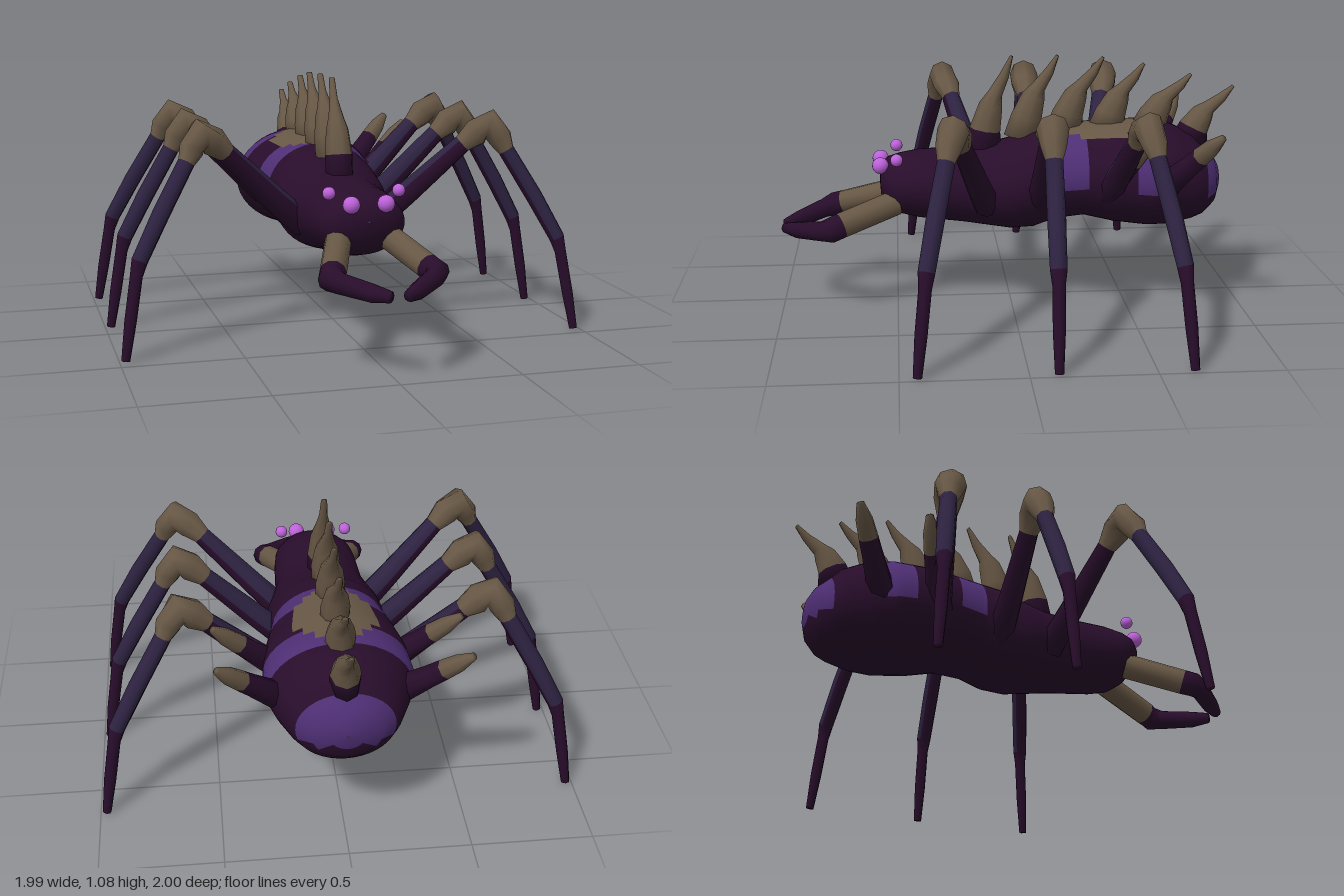
import * as THREE from 'three';

const material = (name, color) => {
  const m = new THREE.MeshStandardMaterial({ color });
  m.name = name;
  return m;
};
const V = (x, y, z) => new THREE.Vector3(x, y, z);
const PLUM = 0, VIOLET = 1, INDIGO = 2, TAN = 3;

export function createModel() {
  const root = new THREE.Group();
  const mats = [
    material('dark plum shell', 0x280d2b),
    material('violet markings', 0x4d2e73),
    material('indigo leg shell', 0x2e2342),
    material('tan horn', 0x675745),
  ];
  const eyeMat = material('orchid eyes', 0xbd62da);

  // Skin a list of rings; pick(segment, centre, normal) chooses each face's colour
  function loft(name, rings, pick, parent = root) {
    const n = rings[0].length;
    const buckets = mats.map(() => []);
    for (let i = 0; i < rings.length - 1; i++) {
      for (let j = 0; j < n; j++) {
        const k = (j + 1) % n;
        const a = rings[i][j], b = rings[i][k], c = rings[i + 1][k], d = rings[i + 1][j];
        const centre = a.clone().add(b).add(c).add(d).multiplyScalar(0.25);
        const normal = c.clone().sub(a).cross(d.clone().sub(b)).normalize();
        const A = i * n + j, B = i * n + k, C = B + n, D = A + n;
        buckets[pick(i, centre, normal)].push(A, B, C, A, C, D);
      }
    }
    const geo = new THREE.BufferGeometry().setFromPoints(rings.flat());
    geo.setIndex(buckets.flat());
    let start = 0;
    buckets.forEach((list, m) => {
      if (list.length) geo.addGroup(start, list.length, m);
      start += list.length;
    });
    geo.computeVertexNormals();
    const mesh = new THREE.Mesh(geo, mats);
    mesh.name = name;
    parent.add(mesh);
  }

  // Rings along a jointed path; joints are [x, y, z, radius, optional second radius]
  function limbRings(joints, hint, sides) {
    const pts = joints.map(p => V(p[0], p[1], p[2]));
    const rings = pts.map((p, i) => {
      const prev = pts[Math.max(i - 1, 0)], next = pts[Math.min(i + 1, pts.length - 1)];
      const dir = next.clone().sub(prev).normalize();
      const u = hint.clone().cross(dir).normalize();
      const v = dir.clone().cross(u);
      const ru = joints[i][3], rv = joints[i][4] ?? ru;
      return Array.from({ length: sides }, (_, j) => {
        const t = (j / sides) * Math.PI * 2;
        return p.clone().addScaledVector(u, ru * Math.cos(t)).addScaledVector(v, rv * Math.sin(t));
      });
    });
    // Close both ends
    const cap = p => Array.from({ length: sides }, () => p.clone());
    return [cap(pts[0]), ...rings, cap(pts[pts.length - 1])];
  }

  // Body stations from tail to head: z, half width, bottom, top
  const stations = [
    [-0.93, 0.002, 0.54, 0.545], [-0.925, 0.07, 0.48, 0.6], [-0.9, 0.14, 0.42, 0.645],
    [-0.85, 0.2, 0.375, 0.69], [-0.8, 0.235, 0.355, 0.74], [-0.7, 0.28, 0.335, 0.785],
    [-0.6, 0.31, 0.335, 0.8], [-0.45, 0.3, 0.355, 0.8], [-0.32, 0.27, 0.385, 0.79],
    [-0.2, 0.245, 0.37, 0.78], [-0.1, 0.25, 0.335, 0.765], [0, 0.25, 0.33, 0.725],
    [0.1, 0.225, 0.345, 0.7], [0.2, 0.2, 0.36, 0.69], [0.4, 0.19, 0.385, 0.68],
    [0.48, 0.18, 0.405, 0.665], [0.53, 0.15, 0.44, 0.65], [0.565, 0.1, 0.49, 0.62],
    [0.57, 0.002, 0.555, 0.56],
  ];
  const slices = [];
  stations.forEach((s, i) => {
    const next = stations[i + 1];
    const steps = next ? Math.max(1, Math.round((next[0] - s[0]) / 0.025)) : 1;
    for (let k = 0; k < steps; k++) {
      slices.push(s.map((value, q) => next ? value + (next[q] - value) * k / steps : value));
    }
  });
  const bodyRings = slices.map(([z, w, lo, hi]) => Array.from({ length: 40 }, (_, j) => {
    const t = (j / 40) * Math.PI * 2;
    return V(w * Math.cos(t), (lo + hi) / 2 + (hi - lo) / 2 * Math.sin(t), z);
  }));
  loft('body', bodyRings, (i, c) => {
    const saddle = 0.17 * Math.sqrt(Math.max(0, 1 - ((c.z + 0.41) / 0.21) ** 2));
    if (c.y > 0.6 && Math.abs(c.x) < saddle) return TAN;
    if (c.z > -0.325 && c.z < -0.21 && c.y > 0.54) return VIOLET;
    if (c.z > -0.65 && c.z < -0.535 && c.y > 0.54) return VIOLET;
    if (c.z < -0.84 && c.y > 0.49 && c.y < 0.685) return VIOLET;
    return PLUM;
  });

  // Back spines: base z, base y, tip z, tip y
  const spines = [
    [0.12, 0.66, -0.01, 1.09], [-0.06, 0.73, -0.21, 1.09], [-0.24, 0.75, -0.41, 1.08],
    [-0.43, 0.76, -0.59, 1.05], [-0.62, 0.76, -0.8, 1.0], [-0.8, 0.7, -0.99, 0.945],
  ];
  spines.forEach(([z0, y0, z1, y1], s) => {
    const at = (f, g, ru, rv) => [0, y0 + (y1 - y0) * f, z0 + (z1 - z0) * g, ru, rv];
    const joints = [
      at(0, 0, 0.085, 0.06), at(0.25, 0.1, 0.068, 0.062), at(0.5, 0.3, 0.052, 0.05),
      at(0.62, 0.45, 0.032, 0.034), at(0.8, 0.75, 0.022, 0.018), at(1, 1, 0.007, 0.013),
    ];
    const plumBase = s === 0 || s === 5;
    loft('backSpine' + (s + 1), limbRings(joints, V(1, 0, 0), 8),
      i => (plumBase && i < 2 ? PLUM : TAN));
  });

  for (const side of [1, -1]) {
    const label = side > 0 ? 'left' : 'right';
    const mirror = list => list.map(([x, ...rest]) => [x * side, ...rest]);

    // Legs: hip z, knee z, foot z
    const legs = [['Front', 0.11, 0.27, 0.43], ['Middle', -0.12, -0.12, -0.115], ['Rear', -0.4, -0.5, -0.645]];
    for (const [place, hip, knee, foot] of legs) {
      const thigh = f => hip + (knee - hip) * f;
      const shin = f => knee + (foot - knee) * f;
      const joints = mirror([
        [0.16, 0.47, thigh(0), 0.06], [0.3, 0.6, thigh(0.3), 0.053],
        [0.52, 0.815, thigh(0.78), 0.042], [0.575, 0.865, thigh(0.9), 0.062],
        [0.63, 0.9, thigh(1), 0.066], [0.672, 0.84, shin(0.13), 0.053],
        [0.695, 0.79, shin(0.2), 0.036], [0.81, 0.59, shin(0.5), 0.037],
        [0.905, 0.41, shin(0.74), 0.034], [0.92, 0.35, shin(0.78), 0.026],
        [0.95, 0.17, shin(0.9), 0.025], [0.975, 0.012, shin(1), 0.018],
      ]);
      loft(label + place + 'Leg', limbRings(joints, V(0, 0, 1), 8), (i, c, n) => {
        if (i >= 3 && i <= 6) return TAN;
        if (i < 3) return n.y > 0.25 ? INDIGO : PLUM;
        if (i < 9) return n.x * side > -0.45 ? INDIGO : PLUM;
        return PLUM;
      });
    }

    // Short horns on the flanks
    const horns = [[V(0.24, 0.56, -0.66), V(0.495, 0.82, -0.835)], [V(0.22, 0.53, -0.4), V(0.5, 0.82, -0.545)]];
    horns.forEach(([a, b], h) => {
      const joints = [[0, 0.06], [0.45, 0.045], [0.62, 0.042], [0.82, 0.036], [1, 0.016]].map(([f, r]) => {
        const p = a.clone().lerp(b, f);
        return [p.x * side, p.y, p.z, r];
      });
      loft(label + (h ? 'Middle' : 'Rear') + 'FlankHorn', limbRings(joints, V(0, 0, 1), 7),
        i => (i < 3 ? PLUM : TAN));
    });

    // Pincers
    const pincer = mirror([
      [0.11, 0.475, 0.5, 0.055], [0.195, 0.4, 0.735, 0.054], [0.215, 0.385, 0.78, 0.054],
      [0.19, 0.375, 0.825, 0.042], [0.09, 0.355, 0.93, 0.036], [0.035, 0.35, 0.985, 0.023],
    ]);
    loft(label + 'Pincer', limbRings(pincer, V(0, 1, 0), 10), i => (i < 2 ? TAN : PLUM));

    // Eyes
    for (const [name, x, y, z, r] of [['InnerEye', 0.073, 0.63, 0.565, 0.036], ['OuterEye', 0.148, 0.67, 0.495, 0.027]]) {
      const eye = new THREE.Mesh(new THREE.SphereGeometry(r, 16, 12), eyeMat);
      eye.name = label + name;
      eye.position.set(x * side, y, z);
      root.add(eye);
    }
  }
  return root;
}
